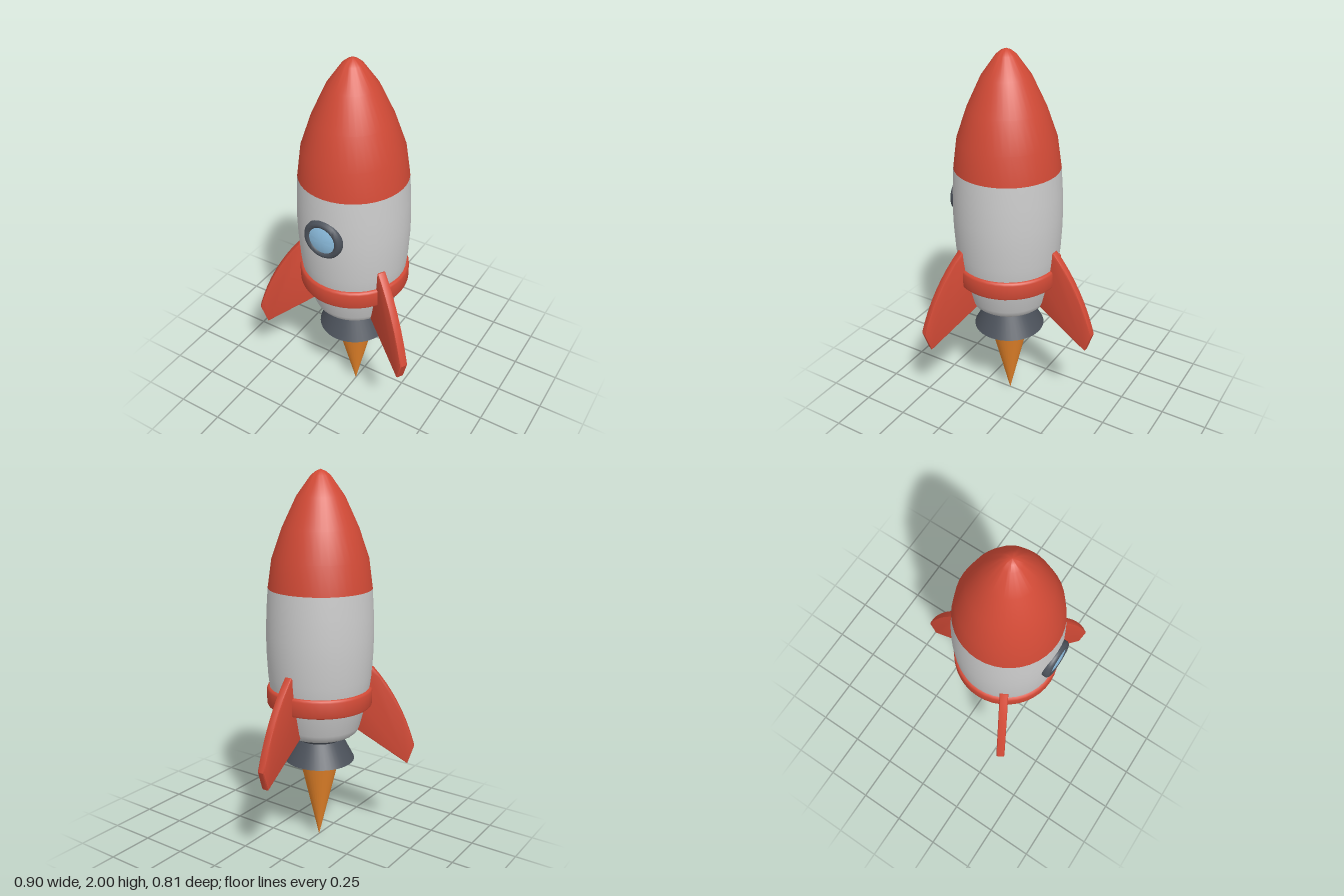
import * as THREE from 'three';
import { toCreasedNormals } from 'three/addons/utils/BufferGeometryUtils.js';

const paint = (color) => new THREE.MeshStandardMaterial({ color });
const red = paint(0xd24a36);
const white = paint(0xe2e2e2);
const dark = paint(0x4c525b);
const blue = paint(0x8fc1e3);
const orange = paint(0xe8852a);

function add(parent, name, geometry, material) {
  const mesh = new THREE.Mesh(geometry, material);
  mesh.name = name;
  parent.add(mesh);
  return mesh;
}

// Turned part from [radius, height] pairs listed from bottom to top
function turned(points, segments = 40, crease = 0.7) {
  const profile = points.map(([r, y]) => new THREE.Vector2(r, y));
  return toCreasedNormals(new THREE.LatheGeometry(profile, segments), crease);
}

// Fin outline in the (radius, height) plane, bevelled and centred on its thickness
function finGeometry() {
  const shape = new THREE.Shape();
  shape.moveTo(0.2, 0.655);
  shape.lineTo(0.474, 0.467);
  shape.lineTo(0.503, 0.56);
  shape.quadraticCurveTo(0.43, 0.81, 0.277, 0.985);
  shape.lineTo(0.25, 0.985);
  shape.lineTo(0.23, 0.79);
  shape.closePath();
  const geometry = new THREE.ExtrudeGeometry(shape, {
    depth: 0.028, curveSegments: 8,
    bevelEnabled: true, bevelThickness: 0.008, bevelSize: 0.008, bevelSegments: 2,
  });
  geometry.translate(0, 0, -0.014);
  return toCreasedNormals(geometry, 0.6);
}

export function createModel() {
  const model = new THREE.Group();
  model.name = 'rocket';
  const rocket = new THREE.Group();
  rocket.name = 'rocketAxis';
  rocket.position.z = 0.1;
  model.add(rocket);

  // Hull
  add(rocket, 'body', turned([
    [0, 0.62], [0.17, 0.62], [0.19, 0.627], [0.207, 0.643], [0.218, 0.67], [0.24, 0.76],
    [0.262, 0.85], [0.274, 0.95], [0.281, 1.08], [0.282, 1.17], [0.278, 1.29], [0.27, 1.41],
  ]), white);
  add(rocket, 'noseCone', turned([
    [0.27, 1.41], [0.249, 1.56], [0.195, 1.715], [0.122, 1.87], [0.05, 1.97], [0.025, 1.99], [0, 2],
  ]), red);
  add(rocket, 'band', turned([
    [0.22, 0.785], [0.268, 0.785], [0.277, 0.789], [0.281, 0.8],
    [0.281, 0.872], [0.277, 0.882], [0.268, 0.887], [0.22, 0.887],
  ]), red);

  // Engine bell with hollow inside, and flame
  add(rocket, 'nozzle', turned([
    [0, 0.56], [0.1, 0.56], [0.175, 0.47], [0.19, 0.47], [0.126, 0.592], [0.148, 0.625], [0, 0.625],
  ], 40, 0.4), dark);
  const flame = add(rocket, 'flame', new THREE.ConeGeometry(0.117, 0.5, 32), orange);
  flame.rotation.x = Math.PI;
  flame.position.y = 0.25;

  // Three fins: one at the back, two towards the front
  const fin = finGeometry();
  [['backFin', 90], ['leftFin', -30], ['rightFin', 210]].forEach(([name, degrees]) => {
    add(rocket, name, fin, red).rotation.y = THREE.MathUtils.degToRad(degrees);
  });

  // Porthole facing the front
  const porthole = new THREE.Group();
  porthole.name = 'porthole';
  porthole.position.set(0, 1.19, 0.26);
  porthole.rotation.x = Math.PI / 2;
  rocket.add(porthole);
  add(porthole, 'windowFrame', turned([
    [0.1, -0.02], [0.103, 0.01], [0.102, 0.024], [0.095, 0.034],
    [0.085, 0.038], [0.076, 0.036], [0.07, 0.03], [0.07, 0.01],
  ]), dark);
  add(porthole, 'windowGlass', turned([
    [0.072, 0.03], [0.055, 0.035], [0.03, 0.039], [0, 0.041],
  ]), blue);

  return model;
}
